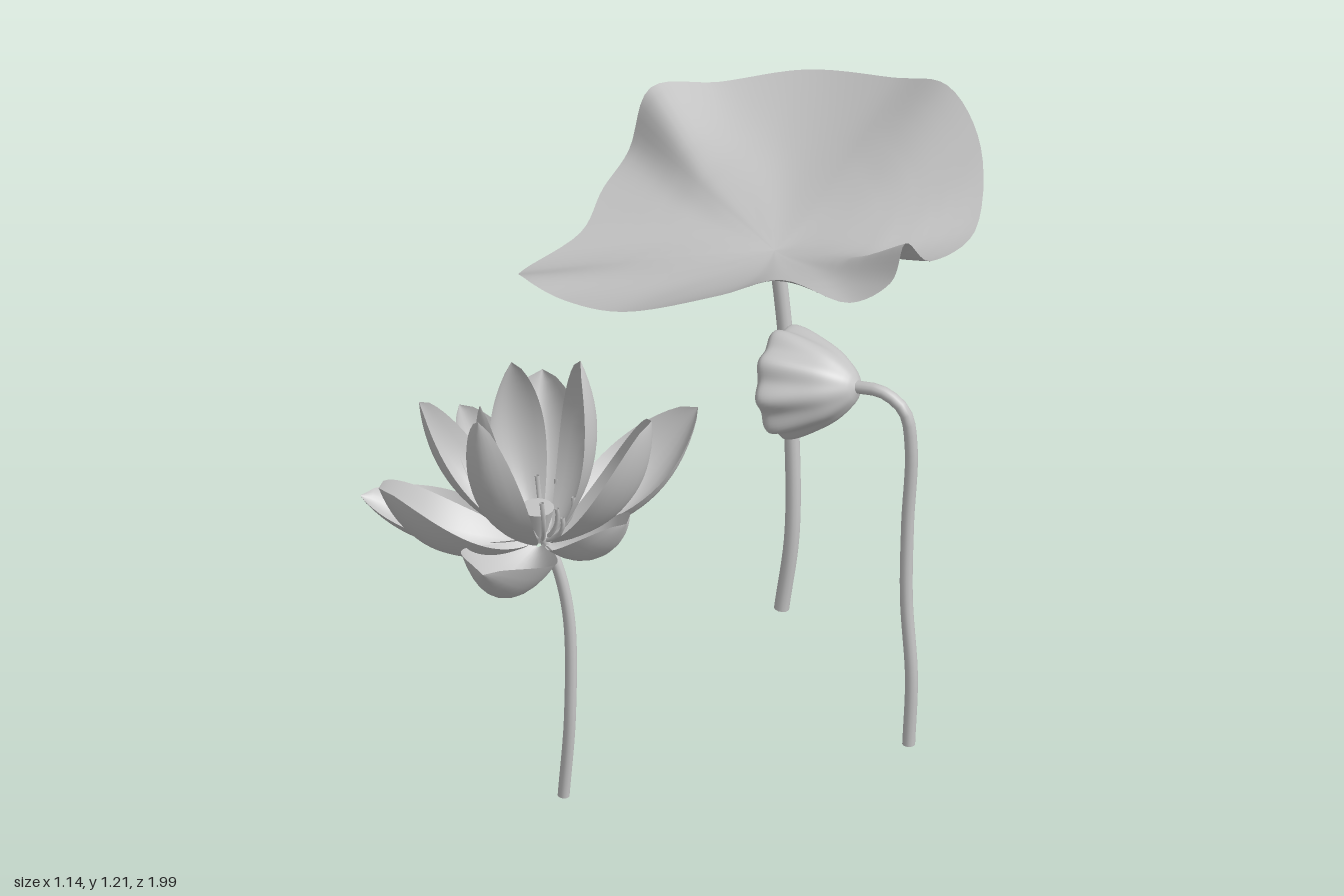
import * as THREE from 'three';

const grey = new THREE.MeshStandardMaterial({ color: 0xc4c4c4, side: THREE.DoubleSide });
grey.name = 'plain grey';
const V = (x, y, z) => new THREE.Vector3(x, y, z);

function add(parent, name, geometry) {
  const mesh = new THREE.Mesh(geometry, grey);
  mesh.name = name;
  parent.add(mesh);
  return mesh;
}

// Smooth sheet from point(i / rows, j / cols); wrap joins the last column to the first
function sheet(rows, cols, wrap, point) {
  const pos = [], index = [], n = wrap ? cols : cols + 1;
  for (let i = 0; i <= rows; i++)
    for (let j = 0; j < n; j++) pos.push(...point(i / rows, j / cols).toArray());
  for (let i = 0; i < rows; i++)
    for (let j = 0; j < cols; j++) {
      const a = i * n + j, b = i * n + (j + 1) % n, c = a + n, d = b + n;
      index.push(a, c, b, b, c, d);
    }
  const g = new THREE.BufferGeometry();
  g.setAttribute('position', new THREE.Float32BufferAttribute(pos, 3));
  g.setIndex(index);
  g.computeVertexNormals();
  return g;
}

// Round stalk through a few points, closed at its cut end
function stem(parent, name, radius, points) {
  const pts = points.map(p => V(...p));
  add(parent, name, new THREE.TubeGeometry(new THREE.CatmullRomCurve3(pts), 40, radius, 12));
  const cap = add(parent, name + 'End', new THREE.CircleGeometry(radius, 12));
  cap.position.copy(pts[0]);
  cap.lookAt(pts[0].clone().multiplyScalar(2).sub(pts[1]));
}

// Wavy floating leaf: rim heights soften and sink towards a dished centre
function makeLeaf() {
  const group = new THREE.Group();
  group.name = 'leaf';
  const c = V(-0.12, 0.83, -0.51), N = 120, taps = 25;
  const curve = new THREE.CatmullRomCurve3([
    [0.245, 0.915, -0.5], [0.245, 1.03, -0.38], [0.27, 1.01, -0.26], [0.22, 1.0, -0.17],
    [0.1, 1.07, -0.09], [0.0, 1.05, -0.01], [-0.2, 0.98, 0.04], [-0.36, 0.94, 0],
    [-0.49, 0.91, -0.08], [-0.55, 0.84, -0.2], [-0.525, 0.81, -0.42], [-0.57, 0.79, -0.62],
    [-0.565, 0.82, -0.73], [-0.555, 0.93, -0.81], [-0.45, 0.91, -0.92], [-0.29, 0.94, -1.0],
    [-0.08, 0.99, -0.985], [0.07, 1.04, -0.94], [0.2, 0.99, -0.83], [0.265, 0.895, -0.67],
  ].map(p => V(...p)), true);
  const rim = Array.from({ length: N }, (_, i) => curve.getPoint(i / N));
  // Mean rim height near column j, over a window that widens towards the centre
  const height = (r, j) => {
    let sum = 0;
    for (let k = 0; k < taps; k++)
      sum += rim[Math.round(j + (k / (taps - 1) - 0.5) * (1 - r) * N * 0.22 + N) % N].y;
    return sum / taps;
  };
  add(group, 'leafBlade', sheet(24, N, true, (r, t) => {
    const j = Math.round(t * N), p = rim[j];
    const y = c.y + (height(r, j) - c.y) * Math.pow(r, 1.3);
    return V(c.x + (p.x - c.x) * r, y, c.z + (p.z - c.z) * r);
  }));
  stem(group, 'leafStem', 0.016, [[-0.06, 0.01, -0.42], [-0.045, 0.2, -0.44],
    [-0.07, 0.5, -0.48], [-0.105, 0.75, -0.505], [-0.12, 0.825, -0.51]]);
  return group;
}

// Cupped petal from the flower base to its tip, bulging outward
function petal(base, tip, width, bulge, cup) {
  const flat = V(tip.x - base.x, 0, tip.z - base.z).normalize();
  const start = base.clone().addScaledVector(flat, 0.025);
  const chord = tip.clone().sub(start), len = chord.length();
  const side = V(0, 1, 0).cross(flat).normalize();
  const out = chord.clone().normalize().cross(side).normalize();
  if (out.y > 0) out.negate();
  const ctrl = start.clone().addScaledVector(chord, 0.5).addScaledVector(out, bulge * len);
  const spine = new THREE.QuadraticBezierCurve3(start, ctrl, tip);
  return sheet(18, 10, false, (t, s) => {
    const k = s * 2 - 1;
    const w = width * (0.1 * (1 - t) + Math.pow(Math.sin(Math.PI * Math.pow(t, 1.15)), 0.7));
    return spine.getPoint(t)
      .addScaledVector(side, k * w * 0.5)
      .addScaledVector(out, -k * k * w * cup);
  });
}

function makeFlower() {
  const group = new THREE.Group();
  group.name = 'flower';
  const base = V(-0.1, 0.79, 0.63);
  // tip x, y, z, width, bulge, cup
  const petals = {
    outerPetal: [
      [-0.27, 0.96, 0.28, 0.17, 0.42, 0.45], [0.09, 0.97, 0.28, 0.17, 0.42, 0.45],
      [-0.26, 0.67, 0.375, 0.155, 0.28, 0.4], [-0.5, 0.81, 0.67, 0.17, 0.3, 0.35],
      [-0.345, 1.01, 0.9, 0.19, 0.4, 0.38], [-0.06, 0.93, 0.99, 0.185, 0.42, 0.45],
      [0.13, 0.94, 0.7, 0.16, 0.4, 0.35],
    ],
    innerPetal: [
      [0.13, 1.125, 0.58, 0.17, 0.35, 0.4], [-0.16, 1.175, 0.81, 0.145, 0.35, 0.35],
      [-0.2, 1.17, 0.57, 0.13, 0.3, 0.3], [-0.04, 1.22, 0.57, 0.14, 0.28, 0.35],
      [-0.36, 1.09, 0.68, 0.14, 0.3, 0.35], [-0.34, 1.0, 0.53, 0.14, 0.3, 0.35],
      [-0.2, 1.15, 0.72, 0.14, 0.25, 0.3],
    ],
  };
  for (const [name, list] of Object.entries(petals))
    list.forEach(([x, y, z, ...form]) => add(group, name, petal(base, V(x, y, z), ...form)));

  // Seed cup and stamens at the heart
  const cup = add(group, 'seedCup', new THREE.CylinderGeometry(0.035, 0.015, 0.08, 16));
  cup.position.set(-0.11, 0.83, 0.63);
  for (let i = 0; i < 10; i++) {
    const a = i * 2.4, r = 0.045 + 0.015 * (i % 3);
    const path = new THREE.QuadraticBezierCurve3(base,
      V(base.x + Math.cos(a) * r, 0.83, base.z + Math.sin(a) * r),
      V(base.x - 0.01 + Math.cos(a) * r, 0.88 + 0.01 * (i % 4), base.z + Math.sin(a) * r));
    add(group, 'stamen', new THREE.TubeGeometry(path, 8, 0.005, 5));
  }
  stem(group, 'flowerStem', 0.0125, [[-0.03, 0.2, 0.67], [-0.02, 0.4, 0.66],
    [-0.035, 0.62, 0.635], [-0.065, 0.74, 0.63], [-0.1, 0.81, 0.63]]);
  return group;
}

// Nodding ribbed seed pod
function makePod() {
  const group = new THREE.Group();
  group.name = 'seedPod';
  const profile = new THREE.CatmullRomCurve3([[0.012, 0], [0.035, 0.012], [0.07, 0.05], [0.095, 0.1],
    [0.112, 0.15], [0.114, 0.174], [0.106, 0.184]].map(([r, h]) => V(r, h, 0)));
  const ribbed = (r, h, t) => {
    const a = t * Math.PI * 2, k = r * (1 + 0.06 * Math.min(1, h / 0.15) * Math.cos(a * 9));
    return V(Math.cos(a) * k, h, Math.sin(a) * k);
  };
  const pod = new THREE.Group();
  pod.name = 'podHead';
  add(pod, 'podShell', sheet(20, 108, true, (s, t) => {
    const p = profile.getPoint(1 - s);
    return ribbed(p.x, p.y, t);
  }));
  add(pod, 'podFace', sheet(4, 108, true, (s, t) => ribbed(0.106 * s, 0.184 - 0.008 * (1 - s), t)));
  pod.position.set(0.405, 1.043, 0.167);
  pod.quaternion.setFromUnitVectors(V(0, 1, 0), V(-0.98, -0.2, 0).normalize());
  group.add(pod);
  stem(group, 'podStem', 0.0135, [[0.555, 0.24, 0.235], [0.555, 0.4, 0.222], [0.535, 0.58, 0.205],
    [0.528, 0.75, 0.185], [0.528, 0.93, 0.168], [0.51, 1.015, 0.165], [0.46, 1.047, 0.165],
    [0.395, 1.043, 0.167]]);
  return group;
}

export function createModel() {
  const model = new THREE.Group();
  model.name = 'waterPlants';
  model.add(makeLeaf(), makeFlower(), makePod());
  return model;
}
